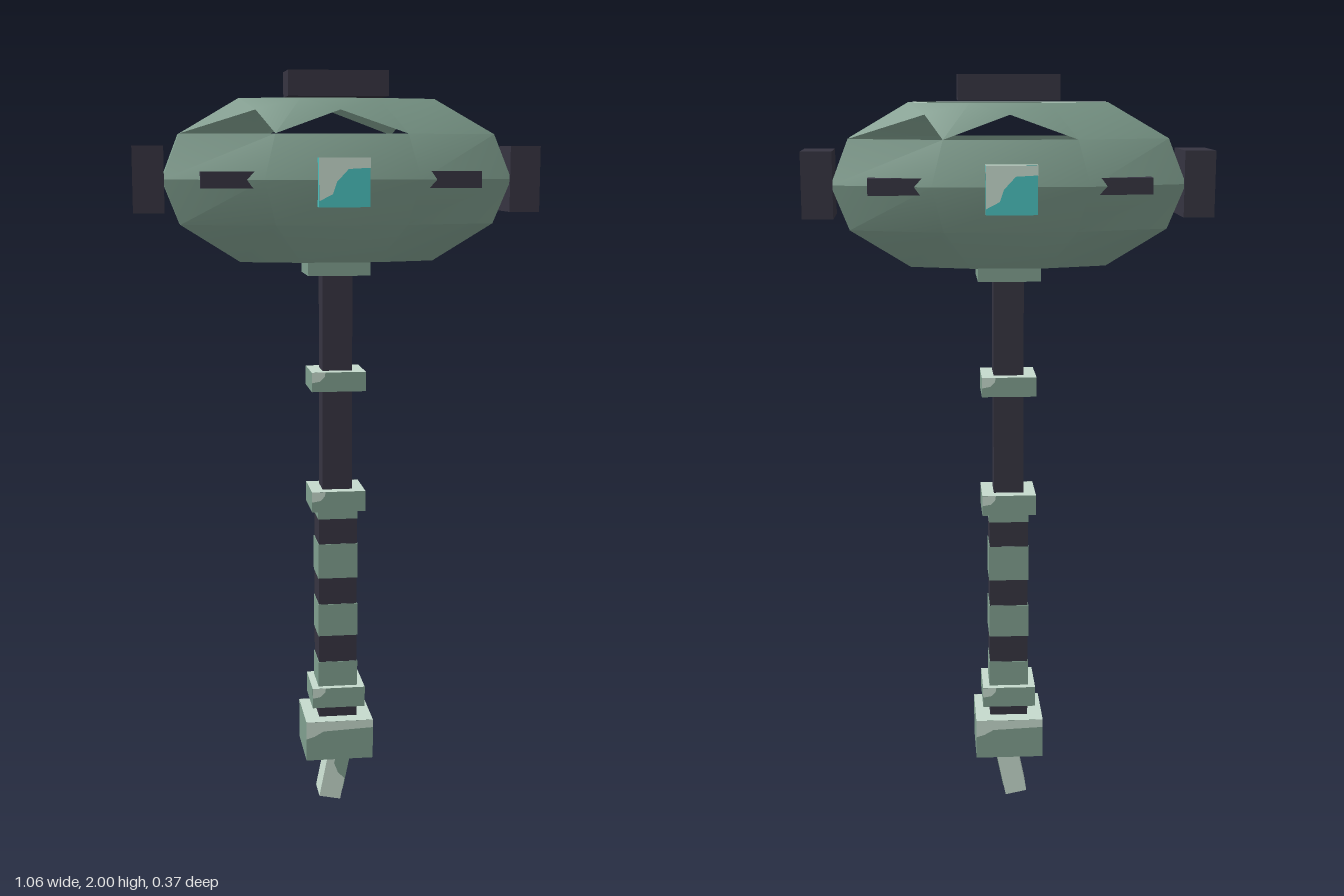
import * as THREE from 'three';
import { toCreasedNormals } from 'three/addons/utils/BufferGeometryUtils.js';

const green = new THREE.MeshStandardMaterial({ color: 0x809f8f, side: THREE.DoubleSide });
green.name = 'sage green';
const pale = new THREE.MeshStandardMaterial({ color: 0xc6dacd, side: THREE.DoubleSide });
pale.name = 'pale mint';
const dark = new THREE.MeshStandardMaterial({ color: 0x363441 });
dark.name = 'dark slate';
const teal = new THREE.MeshStandardMaterial({ color: 0x4ac0bd });
teal.name = 'teal';

// Box materials with a pale upper face
const paleTop = (mat) => [mat, mat, pale, mat, mat, mat];

// Eight-sided ring at height y: end corners (ex, ez), middle corners (mx, mz)
function ring(y, ex, ez, mx, mz) {
  return [[-ex, ez], [-mx, mz], [mx, mz], [ex, ez], [ex, -ez], [mx, -mz], [-mx, -mz], [-ex, -ez]]
    .map(([x, z]) => new THREE.Vector3(x, y, z));
}

// Faceted hollow shell with triangular openings; group 0 is the sides, group 1 the flat caps
function shellGeometry() {
  const pos = [];
  const tri = (...pts) => pts.forEach((p) => pos.push(p.x, p.y, p.z));
  const panel = (a, b, c, d, open) => {
    if (!open) {
      tri(a, b, c);
      tri(a, c, d);
      return;
    }
    // the opening is the triangle a, b, apex
    const apex = a.clone().lerp(b, 0.5).lerp(c.clone().lerp(d, 0.5), 0.67);
    tri(b, c, apex);
    tri(c, d, apex);
    tri(d, a, apex);
  };
  const rings = [
    ring(1.512, 0.255, 0.035, 0.1, 0.085),
    ring(1.61, 0.41, 0.062, 0.17, 0.137),
    ring(1.725, 0.455, 0.075, 0.2, 0.163),
    ring(1.84, 0.41, 0.062, 0.17, 0.137),
    ring(1.93, 0.255, 0.035, 0.1, 0.085),
  ];
  for (let r = 0; r < 4; r++) {
    for (let i = 0; i < 8; i++) {
      const j = (i + 1) % 8;
      const open = r === 3 && [0, 1, 4, 5].includes(i);
      panel(rings[r][i], rings[r][j], rings[r + 1][j], rings[r + 1][i], open);
    }
  }
  const sideCount = pos.length / 3;
  // flat top and bottom, each with a slit on both sides of a centre strip
  for (const [u, up] of [[rings[4], true], [rings[0], false]]) {
    const cap = (a, b, c, d, open) => (up ? panel(a, b, c, d, open) : panel(b, a, d, c, open));
    cap(u[0], u[3], u[4], u[7], false);
    cap(u[3], u[0], u[1], u[2], true);
    cap(u[7], u[4], u[5], u[6], true);
  }
  const g = new THREE.BufferGeometry();
  g.setAttribute('position', new THREE.Float32BufferAttribute(pos, 3));
  g.addGroup(0, sideCount, 0);
  g.addGroup(sideCount, pos.length / 3 - sideCount, 1);
  return toCreasedNormals(g, 0.4);
}

export function createModel() {
  const model = new THREE.Group();
  model.name = 'warHammer';

  // Box spanning y0..y1, centred on (x, z)
  const box = (name, mat, w, y0, y1, d, x = 0, z = 0, parent = model) => {
    const m = new THREE.Mesh(new THREE.BoxGeometry(w, y1 - y0, d), mat);
    m.name = name;
    m.position.set(x, (y0 + y1) / 2, z);
    parent.add(m);
    return m;
  };

  // Flat painted patch with an outline in x, y, lying at depth z
  const patch = (name, mat, outline, z, parent) => {
    const shape = new THREE.Shape(outline.map(([x, y]) => new THREE.Vector2(x, y)));
    const m = new THREE.Mesh(new THREE.ShapeGeometry(shape), mat);
    m.name = name;
    m.position.z = z;
    parent.add(m);
    return m;
  };

  // Head
  const head = new THREE.Group();
  head.name = 'head';
  model.add(head);
  const shell = new THREE.Mesh(shellGeometry(), [green, pale]);
  shell.name = 'headShell';
  head.add(shell);
  box('sideFins', dark, 0.72, 1.704, 1.746, 0.296, 0, 0, head);
  box('topBlock', dark, 0.26, 1.935, 2, 0.13, 0, 0, head);
  for (const s of [1, -1]) {
    box(s > 0 ? 'leftStrikingFace' : 'rightStrikingFace', dark, 0.08, 1.64, 1.81, 0.167, s * 0.49, 0, head);
  }

  // Shaft and grip
  box('shaft', dark, 0.08, 0.87, 1.52, 0.08);
  box('grip', dark, 0.104, 0.25, 0.85, 0.104);
  for (const [y0, y1] of [[0.818, 0.86], [0.652, 0.748], [0.488, 0.578], [0.33, 0.413]]) {
    box('gripBand', green, 0.108, y0, y1, 0.108);
  }

  // Collars and pommel, pale on top
  const collars = [[1.17, 1.222], [0.843, 0.898], [0.287, 0.343]];
  box('headCollar', paleTop(green), 0.164, 1.477, 1.52, 0.164);
  for (const [y0, y1] of collars) box('collar', paleTop(green), 0.145, y0, y1, 0.145);
  box('pommel', paleTop(green), 0.185, 0.143, 0.254, 0.185);

  // Gems and painted highlights, repeated on the back by a half turn
  for (const side of ['front', 'back']) {
    const half = new THREE.Group();
    half.name = side + 'Details';
    half.rotation.y = side === 'front' ? 0 : Math.PI;
    model.add(half);
    box(side + 'Gem', paleTop(teal), 0.13, 1.657, 1.78, 0.063, 0, 0.151, half);
    patch('gemHighlight', pale, [[-0.065, 1.78], [-0.065, 1.672], [-0.03, 1.69], [-0.02, 1.72],
      [0.01, 1.752], [0.065, 1.755], [0.065, 1.78]], 0.184, half);
    box('gemSideHighlight', pale, 0.002, 1.754, 1.78, 0.062, 0.0655, 0.151, half);
    for (const [, y] of collars) {
      patch('collarHighlight', pale, [[-0.0725, y], [-0.0725, y - 0.028], [-0.05, y - 0.024],
        [-0.038, y - 0.012], [-0.036, y]], 0.0735, half);
    }
    patch('pommelHighlight', pale, [[-0.0925, 0.254], [-0.0925, 0.205], [-0.07, 0.212],
      [-0.045, 0.226], [0.0925, 0.232], [0.0925, 0.254]], 0.0935, half);
  }

  // Slanted prong, pale with a green inner side
  const prong = box('prong', pale, 0.06, 0.006, 0.17, 0.08, -0.005);
  prong.rotation.z = -0.2;
  box('prongSidePaint', green, 0.002, -0.052, 0.08, 0.08, 0.0305, 0, prong);
  patch('prongFrontPaint', green, [[0.0305, 0.08], [-0.008, 0.08], [-0.008, 0.02], [0.008, -0.005],
    [0.0305, -0.02]], 0.0408, prong);

  return model;
}
